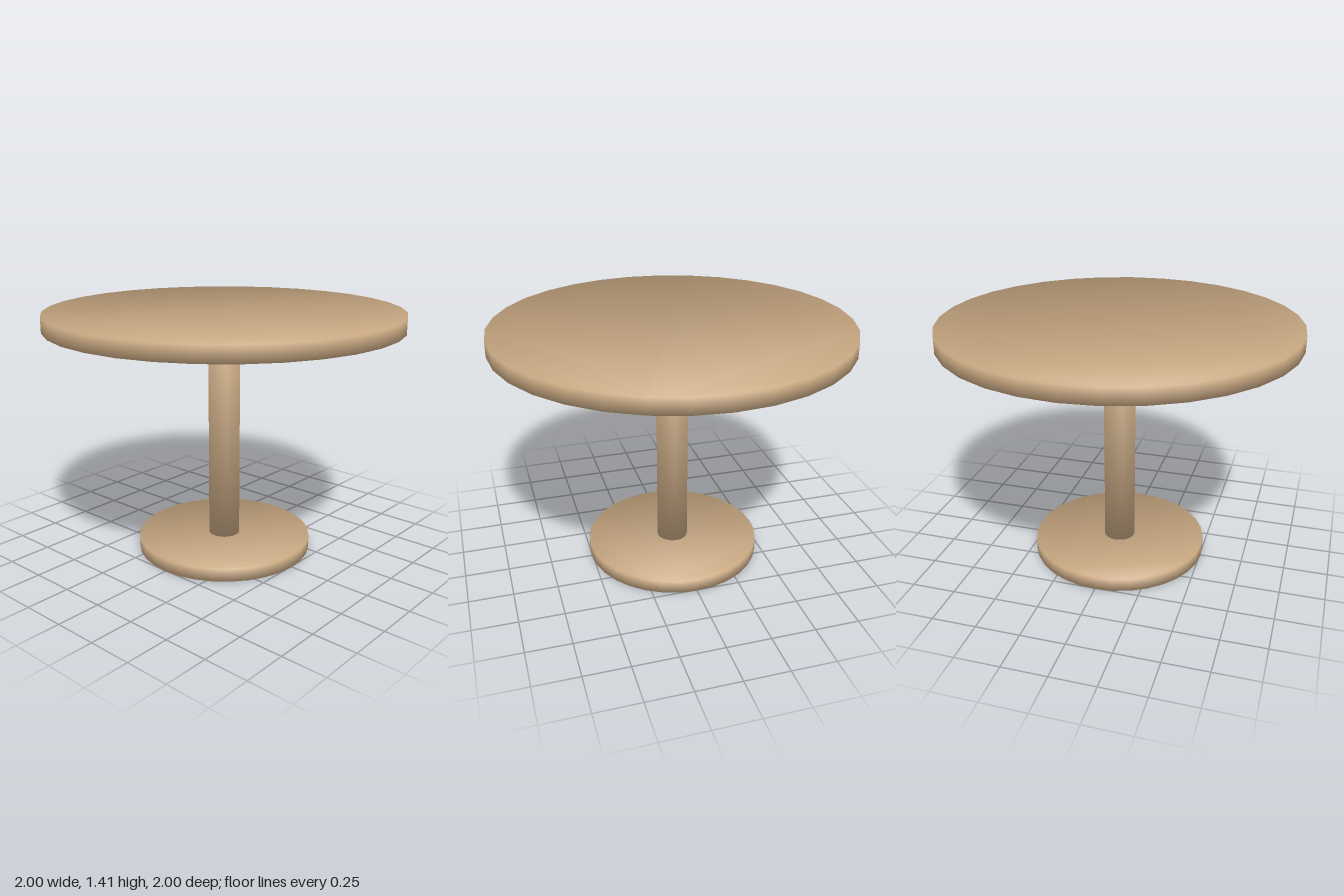
import * as THREE from 'three';

const SIDES = 32;

// Upright disc or post whose normals blend softly over the rim
function softCylinder(radius, bottom, top) {
  const points = Array.from({ length: SIDES }, (_, i) => {
    const a = (i / SIDES) * Math.PI * 2;
    return new THREE.Vector2(Math.cos(a) * radius, Math.sin(a) * radius);
  });
  const geometry = new THREE.ExtrudeGeometry(new THREE.Shape(points), {
    depth: top - bottom,
    bevelEnabled: false,
  });
  geometry.rotateX(-Math.PI / 2);
  geometry.translate(0, bottom, 0);

  // Every rim vertex points outward at 45 degrees, up or down
  const position = geometry.attributes.position;
  const middle = (bottom + top) / 2;
  const n = new THREE.Vector3();
  for (let i = 0; i < position.count; i++) {
    const up = position.getY(i) > middle ? 1 : -1;
    n.set(position.getX(i) / radius, up, position.getZ(i) / radius).normalize();
    geometry.attributes.normal.setXYZ(i, n.x, n.y, n.z);
  }
  return geometry;
}

export function createModel() {
  const group = new THREE.Group();
  group.name = 'roundPedestalTable';

  const wood = new THREE.MeshStandardMaterial({ color: 0xc8a882 });
  wood.name = 'light wood';

  // name, radius, bottom, top
  const parts = [
    ['base', 0.506, 0, 0.075],
    ['column', 0.09, 0.075, 1.325],
    ['tabletop', 1, 1.325, 1.413],
  ];
  for (const [name, radius, bottom, top] of parts) {
    const mesh = new THREE.Mesh(softCylinder(radius, bottom, top), wood);
    mesh.name = name;
    group.add(mesh);
  }
  return group;
}
